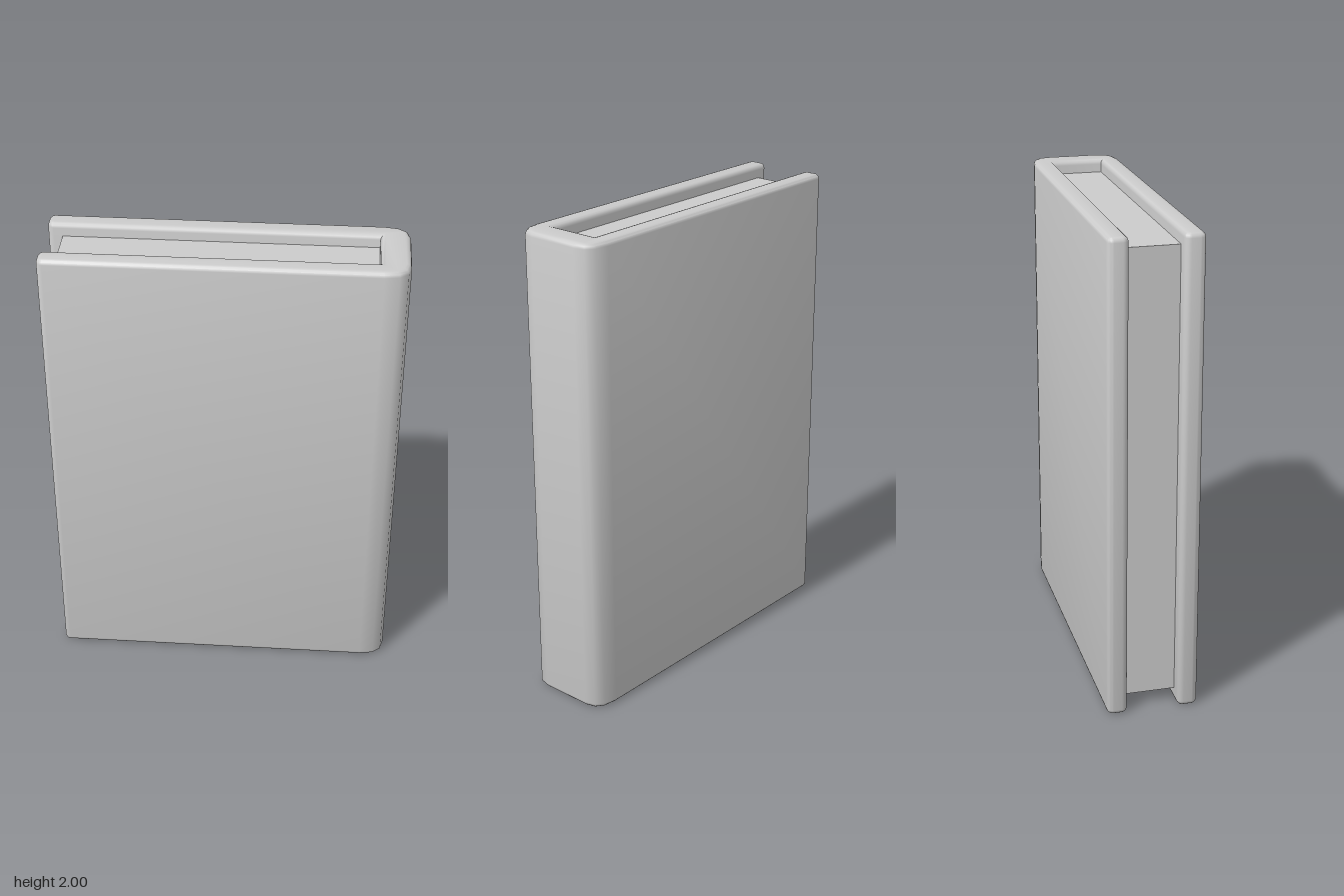
import * as THREE from 'three';
import { toCreasedNormals } from 'three/addons/utils/BufferGeometryUtils.js';

const material = new THREE.MeshStandardMaterial({ color: 0xcccccc });

// C-shaped plan of the two boards and the spine, seen from above
function coverShape() {
  const xEnd = -0.725, xSpine = 0.725, zOut = 0.19, zIn = 0.106, xIn = 0.605, r = 0.025;
  const s = new THREE.Shape();
  s.moveTo(xEnd + r, -zOut);
  s.lineTo(0.62, -zOut);
  s.quadraticCurveTo(xSpine, -zOut, xSpine, -0.11);
  s.lineTo(xSpine, 0.11);
  s.quadraticCurveTo(xSpine, zOut, 0.62, zOut);
  s.lineTo(xEnd + r, zOut);
  s.absarc(xEnd + r, zOut - r, r, Math.PI / 2, Math.PI, false);
  s.absarc(xEnd + r, zIn + r, r, Math.PI, Math.PI * 1.5, false);
  s.lineTo(xIn, zIn);
  s.lineTo(xIn, -zIn);
  s.lineTo(xEnd + r, -zIn);
  s.absarc(xEnd + r, -zIn - r, r, Math.PI / 2, Math.PI, false);
  s.absarc(xEnd + r, -zOut + r, r, Math.PI, Math.PI * 1.5, false);
  return s;
}

export function createModel() {
  const group = new THREE.Group();
  group.name = 'book';

  // Cover: extruded upward with softened top and bottom rims
  const bevel = 0.02;
  const coverGeometry = new THREE.ExtrudeGeometry(coverShape(), {
    depth: 2 - 2 * bevel, curveSegments: 3,
    bevelEnabled: true, bevelSize: bevel, bevelThickness: bevel, bevelOffset: -bevel, bevelSegments: 3,
  });
  coverGeometry.rotateX(-Math.PI / 2);
  coverGeometry.translate(0, bevel, 0);
  const cover = new THREE.Mesh(toCreasedNormals(coverGeometry, Math.PI / 3), material);
  cover.name = 'cover';
  group.add(cover);

  // Pages: a plain block set back from the rims and the open edge
  const pages = new THREE.Mesh(new THREE.BoxGeometry(1.28, 1.89, 0.214), material);
  pages.name = 'pages';
  pages.position.set(-0.025, 1, 0);
  group.add(pages);

  return group;
}
